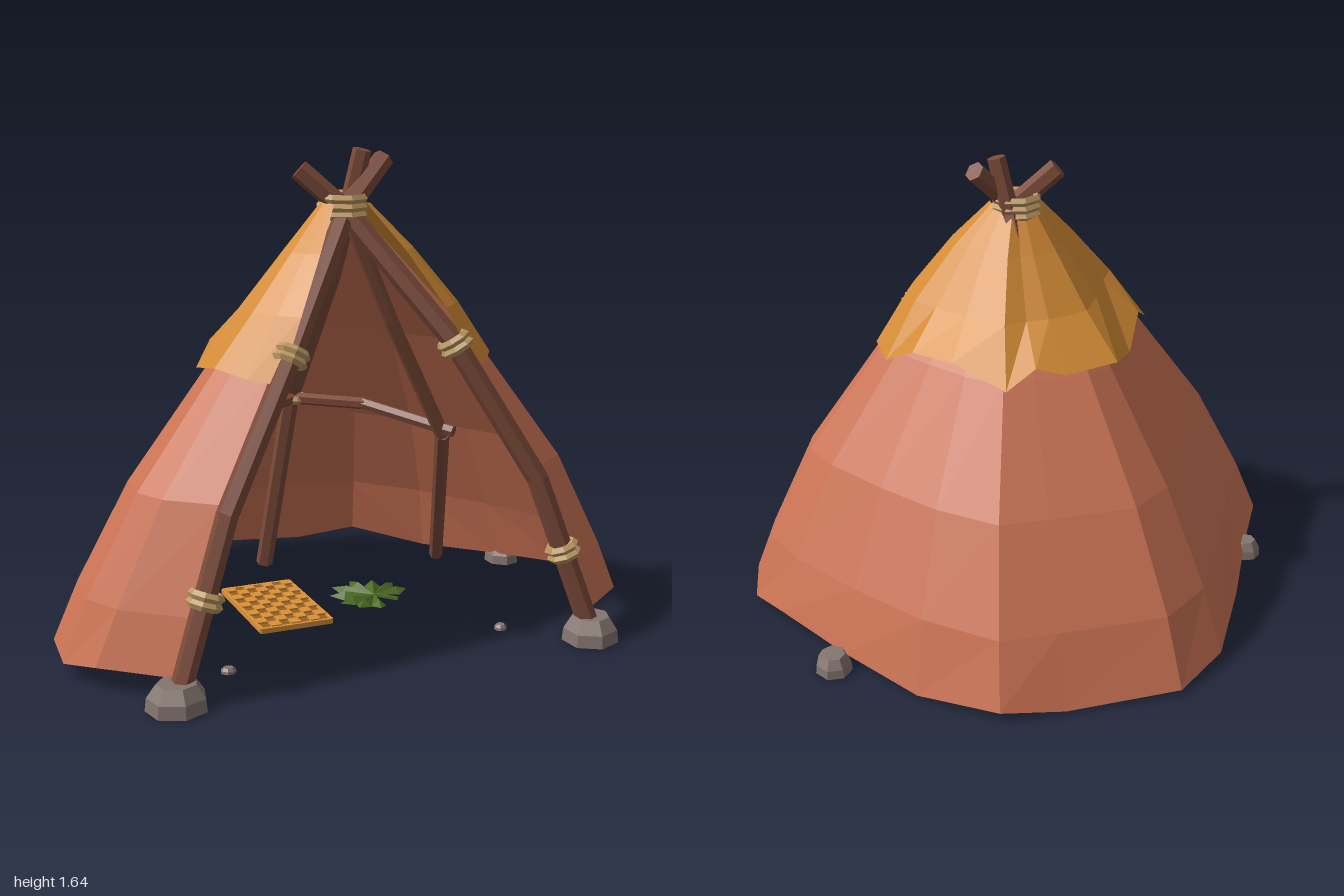
import * as THREE from 'three';

const mat = (name, color, side = THREE.FrontSide) => {
  const m = new THREE.MeshStandardMaterial({ color, side, flatShading: true });
  m.name = name;
  return m;
};
const V = (a) => new THREE.Vector3(...a);
const UP = new THREE.Vector3(0, 1, 0);

export function createModel() {
  const root = new THREE.Group();
  root.name = 'hideTent';
  const skin = mat('clay hide', 0xcb7354, THREE.DoubleSide);
  const ochre = mat('ochre hide', 0xd38b35, THREE.DoubleSide);
  const wood = mat('brown wood', 0x7d4b3a);
  const rope = mat('tan rope', 0xbd9963);
  const stone = mat('grey stone', 0x84756f);
  const straw = mat('straw', 0xdc9238);
  const darkStraw = mat('dark straw', 0x94601f);
  const green = mat('leaf green', 0x4b6b22, THREE.DoubleSide);

  const add = (name, geo, m, pos = [0, 0, 0], parent = root) => {
    const mesh = new THREE.Mesh(geo, m);
    mesh.name = name;
    mesh.position.set(...pos);
    parent.add(mesh);
    return mesh;
  };

  // Open sheet: a hem of [x, y, z] points drawn in towards the apex level by level.
  const sheet = (name, hem, levels, m) => {
    const pos = [], idx = [], n = hem.length;
    hem.forEach((p) => pos.push(...p));
    levels.forEach(([f, y, shift]) => hem.forEach(([x, , z]) => pos.push(x * f, y, 0.2 + (z - 0.2) * f + shift)));
    for (let r = 0; r < levels.length; r++) {
      for (let i = 0; i < n - 1; i++) {
        const a = r * n + i, b = a + 1, c = a + n, d = c + 1;
        idx.push(a, b, d, a, d, c);
      }
    }
    const g = new THREE.BufferGeometry();
    g.setAttribute('position', new THREE.Float32BufferAttribute(pos, 3));
    g.setIndex(idx);
    g.computeVertexNormals();
    return add(name, g, m);
  };

  // Main hide with its wavy hem
  sheet('hideCover', [
    [0.72, 0.08, 0.63], [0.96, 0.08, 0.45], [1.0, 0.03, 0.33], [0.95, 0.07, 0.14], [0.8, 0.04, -0.15],
    [0.63, 0.01, -0.43], [0.42, 0.04, -0.66], [0.2, 0.01, -0.7], [-0.2, 0.02, -0.76], [-0.41, 0.04, -0.65],
    [-0.66, 0.01, -0.32], [-0.85, 0.04, -0.05], [-0.99, 0.06, 0.13], [-1.0, 0.05, 0.32], [-0.93, 0.08, 0.46],
    [-0.72, 0.08, 0.63],
  ], [[0.92, 0.26, 0.02], [0.75, 0.59, 0.045], [0.47, 0.97, 0.05], [0.05, 1.44, 0.02]], skin);

  // Upper cape over the smoke hole
  sheet('upperCape', [
    [0.34, 0.94, 0.53], [0.42, 0.95, 0.45], [0.48, 0.96, 0.36], [0.49, 0.95, 0.22], [0.43, 1.02, 0.1],
    [0.34, 1.03, -0.05], [0.21, 0.97, -0.21], [0.1, 1.03, -0.2], [0, 1.0, -0.225], [-0.2, 1.0, -0.2],
    [-0.31, 0.96, -0.07], [-0.43, 1.02, 0.11], [-0.51, 0.95, 0.21], [-0.49, 0.97, 0.34], [-0.42, 0.95, 0.45],
    [-0.34, 0.94, 0.53],
  ], [[0.74, 1.14, 0.04], [0.44, 1.32, 0.045], [0.17, 1.465, 0.025]], ochre);

  // Bent poles: a chain of six-sided rods
  const rod = (name, pts, r) => {
    const g = new THREE.Group();
    g.name = name;
    for (let i = 0; i < pts.length - 1; i++) {
      const a = V(pts[i]), b = V(pts[i + 1]);
      const dir = b.clone().sub(a);
      const len = dir.length();
      const m = add(name + 'Section', new THREE.CylinderGeometry(r, r, len + (i ? r * 0.3 : 0), 6), wood,
        a.add(b).multiplyScalar(0.5).toArray(), g);
      m.quaternion.setFromUnitVectors(UP, dir.normalize());
    }
    root.add(g);
  };
  // Rope lashing: two coils wound round a rod direction
  const lashing = (name, p, dir, r, coils = 2) => {
    const d = V(dir).normalize();
    for (let i = 0; i < coils; i++) {
      const q = V(p).addScaledVector(d, (i - (coils - 1) / 2) * 0.027);
      const m = add(name, new THREE.TorusGeometry(r, 0.016, 5, 8), rope, q.toArray());
      m.quaternion.setFromUnitVectors(new THREE.Vector3(0, 0, 1), d);
    }
  };

  for (const s of [1, -1]) {
    const tip = s > 0 ? [-0.14, 1.57, 0.19] : [0.16, 1.6, 0.18];
    rod('frontPole', [[s * 0.73, 0.02, 0.67], [s * 0.54, 0.57, 0.6], [s * 0.28, 1.03, 0.48], [0, 1.44, 0.24], tip], 0.036);
    rod('sidePole', [[s * 0.61, 0.02, -0.27], [s * 0.42, 0.62, 0.14], [s * 0.2, 1.05, 0.17], [s * 0.02, 1.45, 0.19]], 0.026);
    lashing('lowerLashing', [s * 0.625, 0.32, 0.635], [-s * 0.19, 0.55, -0.07], 0.044);
    lashing('upperLashing', [s * 0.285, 1.02, 0.485], [-s * 0.26, 0.46, -0.12], 0.044);
  }
  rod('backPole', [[-0.05, 0.02, -0.43], [0, 0.71, -0.27], [0.03, 1.2, 0.05], [0.04, 1.44, 0.17], [0.075, 1.63, 0.2]], 0.032);
  rod('crossBar', [[-0.44, 0.64, 0.18], [-0.22, 0.7, -0.1], [0, 0.71, -0.24], [0.22, 0.7, -0.1], [0.44, 0.64, 0.18]], 0.022);
  lashing('crossBarLashing', [0, 0.71, -0.255], [0.05, 1, 0.1], 0.04, 1);
  lashing('crownLashing', [0, 1.455, 0.21], [0, 1, 0.05], 0.074, 3);

  // Stones: faceted, flat-bottomed and bevelled
  const profile = [[0, 0], [1, 0], [0.95, 0.5], [0.65, 1], [0, 1]].map(([x, y]) => new THREE.Vector2(x, y));
  [['footStone', -0.73, 0.67, 0.1, 0.085], ['footStone', 0.73, 0.66, 0.105, 0.085],
    ['sideStone', 0.845, -0.165, 0.07, 0.065], ['sideStone', -0.83, -0.08, 0.06, 0.065],
    ['pebble', -0.5, 0.47, 0.026, 0.018], ['pebble', 0.49, 0.47, 0.024, 0.018]].forEach(([name, x, z, r, h], i) => {
    const m = add(name, new THREE.LatheGeometry(profile, 7), stone, [x, 0, z]);
    m.scale.set(r, h, r * 0.92);
    m.rotation.y = i * 0.8;
  });

  // Woven mat: dark backing with raised straw checks
  const mat0 = new THREE.Group();
  mat0.name = 'wovenMat';
  mat0.position.set(-0.17, 0.02, 0.02);
  root.add(mat0);
  add('matBacking', new THREE.BoxGeometry(0.26, 0.012, 0.42), darkStraw, [0, 0, 0], mat0);
  for (let i = 0; i < 7; i++) {
    for (let j = 0; j < 10; j++) {
      if ((i + j) % 2) continue;
      add('matWeave', new THREE.BoxGeometry(0.037, 0.008, 0.04), straw, [(i - 3) * 0.036, 0.009, (j - 4.5) * 0.041], mat0);
    }
  }
  for (const s of [1, -1]) {
    add('matEdge', new THREE.BoxGeometry(0.012, 0.018, 0.42), straw, [s * 0.128, 0, 0], mat0);
    add('matEnd', new THREE.BoxGeometry(0.26, 0.018, 0.012), straw, [0, 0, s * 0.208], mat0);
  }

  // Fan leaf: pleated pointed lobes round a short stem
  const leaf = new THREE.Group();
  leaf.name = 'fanLeaf';
  leaf.position.set(0.2, 0.02, 0.05);
  leaf.rotation.y = 2.3;
  root.add(leaf);
  const lp = [], lobes = 9;
  const ray = (k, r, y) => {
    const a = (k / lobes) * 4.9 - 2.45;
    return [Math.cos(a) * r, y, Math.sin(a) * r];
  };
  for (let k = 0; k < lobes; k++) {
    const r = 0.17 - 0.008 * Math.abs(k - 4);
    const tip = ray(k + 0.5, r, 0), l = ray(k, r * 0.72, -0.008), t = ray(k + 1, r * 0.72, -0.008);
    const ridge = ray(k + 0.5, r * 0.65, 0.016);
    for (const [a, b] of [[l, [0, 0, 0]], [tip, l], [[0, 0, 0], t], [t, tip]]) lp.push(...a, ...b, ...ridge);
  }
  const lg = new THREE.BufferGeometry();
  lg.setAttribute('position', new THREE.Float32BufferAttribute(lp, 3));
  lg.computeVertexNormals();
  add('leafBlade', lg, green, [0, 0, 0], leaf);
  add('leafStem', new THREE.BoxGeometry(0.09, 0.01, 0.012), green, [-0.05, 0, 0], leaf);

  return root;
}
